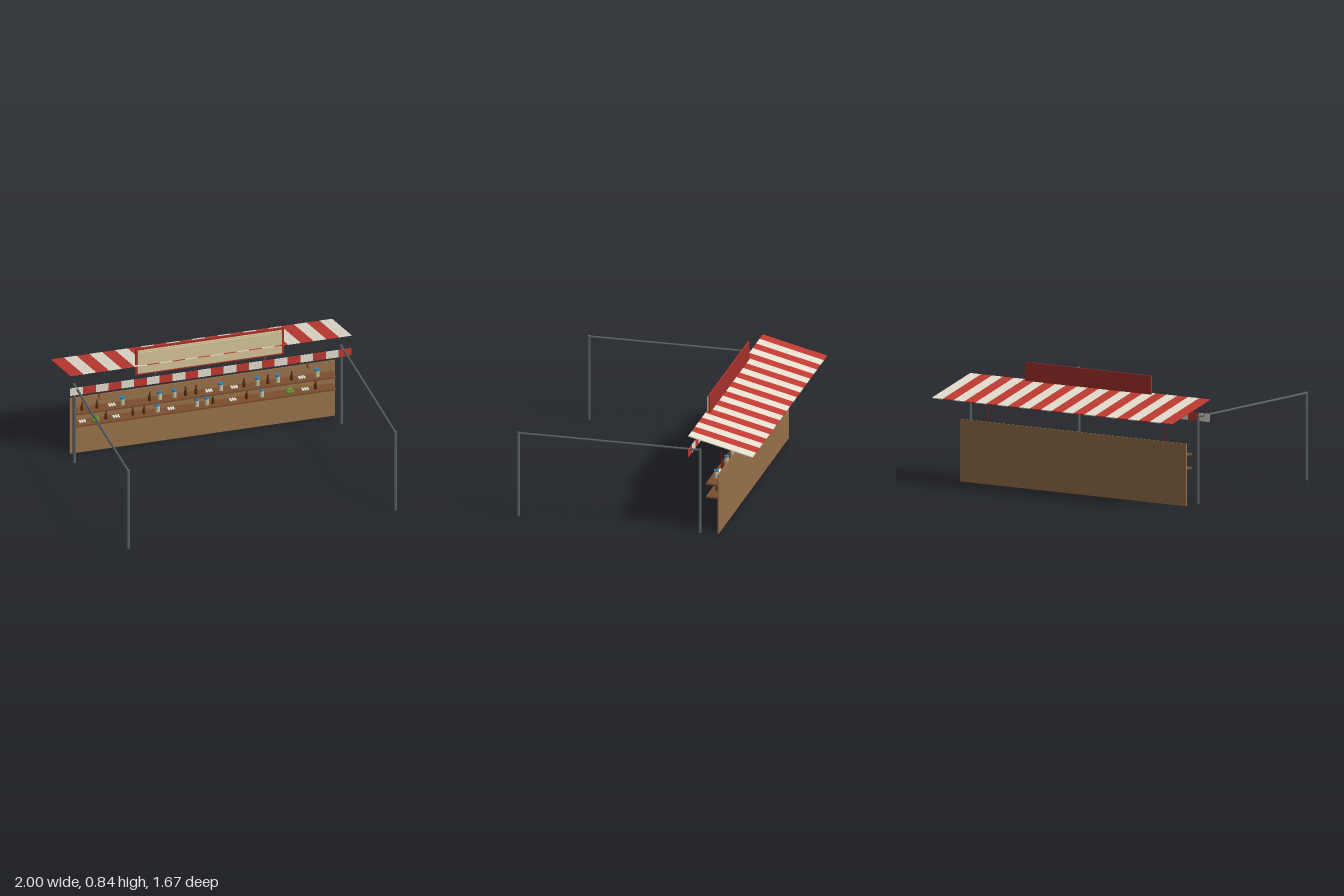
import * as THREE from 'three';

const mat = (color) => new THREE.MeshStandardMaterial({ color });
const M = {
  red: mat(0xc23b32), cream: mat(0xe6e0d0), wood: mat(0x9a734a), shelf: mat(0x7d4f30),
  steel: mat(0x5c6167), sign: mat(0xd9c89a), signRed: mat(0xa8322b), bottle: mat(0x5f3417),
  glass: mat(0xc9c3a0), blue: mat(0x2f7fb8), white: mat(0xeeeae0), green: mat(0x6f9a3a),
  chilli: mat(0x8e1f1a), string: mat(0x6b4a2c),
};

export function createModel() {
  const root = new THREE.Group();
  root.name = 'marketStall';

  const add = (name, geo, material, x, y, z, parent = root) => {
    const m = new THREE.Mesh(geo, material);
    m.name = name;
    m.position.set(x, y, z);
    parent.add(m);
    return m;
  };
  const box = (name, w, h, d, material, x, y, z, parent) =>
    add(name, new THREE.BoxGeometry(w, h, d), material, x, y, z, parent);
  const group = (name, parent = root) => {
    const g = new THREE.Group();
    g.name = name;
    parent.add(g);
    return g;
  };

  // Steel frame: four posts and two side rails
  const frame = group('frame');
  const postGeo = new THREE.CylinderGeometry(0.011, 0.011, 0.608, 10);
  const railGeo = new THREE.CylinderGeometry(0.008, 0.008, 1.29, 10).rotateX(Math.PI / 2);
  for (const x of [-0.95, 0.95]) {
    add('frontPost', postGeo, M.steel, x, 0.304, 0.828, frame);
    add('backPost', postGeo, M.steel, x, 0.304, -0.45, frame);
    add('sideRail', railGeo, M.steel, x, 0.601, 0.188, frame);
  }

  // Sloping striped awning and hanging valance
  const awning = group('awning');
  const n = 22, w = 2 / n;
  const zA = -0.381, yA = 0.714, zB = -0.834, yB = 0.602;
  const length = Math.hypot(zA - zB, yA - yB);
  const slope = -Math.atan2(yA - yB, zA - zB);
  for (let i = 0; i < n; i++) {
    const x = -1 + w * (i + 0.5);
    const stripe = box('awningStripe', w, 0.006, length, i % 2 ? M.cream : M.red,
      x, (yA + yB) / 2, (zA + zB) / 2, awning);
    stripe.rotation.x = slope;
    box('valanceStripe', w, 0.056, 0.004, i % 2 ? M.red : M.cream, x, 0.587, -0.381, awning);
  }

  // Sign board with raised panel, on two short brackets
  const sign = group('sign');
  box('signBack', 1.054, 0.205, 0.012, M.signRed, -0.002, 0.737, -0.404, sign);
  box('signPanel', 1.025, 0.176, 0.01, M.sign, -0.002, 0.737, -0.394, sign);
  box('signFace', 1.0, 0.152, 0.006, M.sign, -0.002, 0.737, -0.386, sign);
  for (const x of [-0.39, 0.39])
    add('signBracket', new THREE.CylinderGeometry(0.005, 0.005, 0.1, 8), M.steel, x, 0.61, -0.4, sign);

  // Back panel and shelves
  box('backPanel', 1.886, 0.43, 0.008, M.wood, 0, 0.215, -0.577);
  const shelfTops = [0.352, 0.257];
  for (const y of shelfTops) box('shelf', 1.846, 0.012, 0.09, M.shelf, 0, y - 0.006, -0.53);

  // Goods
  const profile = (points) =>
    new THREE.LatheGeometry(points.map((p) => new THREE.Vector2(p[0], p[1])), 12);
  const bottleGeo = profile([[0, 0], [0.0105, 0], [0.0105, 0.034], [0.005, 0.045], [0.005, 0.058], [0.0065, 0.058], [0.0065, 0.064], [0, 0.064]]);
  const jarGeo = new THREE.CylinderGeometry(0.0165, 0.0165, 0.048, 14);
  const lidGeo = new THREE.CylinderGeometry(0.0185, 0.0185, 0.009, 14);
  const ballGeo = new THREE.SphereGeometry(1, 10, 8);
  const ball = (name, r, material, x, y, z, g) => add(name, ballGeo, material, x, y, z, g).scale.setScalar(r);

  const makers = {
    bottle(g) { add('bottleBody', bottleGeo, M.bottle, 0, 0, 0, g); },
    jar(g) {
      add('jarBody', jarGeo, M.glass, 0, 0.024, 0, g);
      add('jarLid', lidGeo, M.blue, 0, 0.0525, 0, g);
    },
    eggs(g) {
      for (let i = -1; i <= 1; i++)
        for (const z of [-0.009, 0.009]) ball('egg', 0.0085, M.white, i * 0.017, 0.0085, z, g);
    },
    greens(g) {
      for (let i = -1; i <= 1; i++)
        for (const z of [-0.016, 0, 0.016]) ball('greenFruit', 0.01, M.green, i * 0.016, 0.01, z, g);
      for (const x of [-0.009, 0.009])
        for (const z of [-0.009, 0.009]) ball('greenFruit', 0.01, M.green, x, 0.023, z, g);
    },
  };
  const stock = [
    {
      bottle: [-0.87, -0.765, -0.39, -0.135, -0.06, 0.28, 0.45, 0.62],
      jar: [-0.585, -0.32, -0.215, 0.115, 0.375, 0.52, 0.8],
      eggs: [-0.66, 0.03, 0.21, 0.69],
    },
    {
      bottle: [-0.7, -0.51, -0.43, 0.06, 0.3, 0.79],
      jar: [-0.335, -0.055, 0.015, 0.405],
      eggs: [-0.87, -0.63, -0.24, 0.2, 0.715],
      greens: [-0.775, 0.605],
    },
  ];
  stock.forEach((row, level) => {
    for (const [kind, xs] of Object.entries(row))
      for (const x of xs) {
        const g = group(kind);
        g.position.set(x, shelfTops[level], -0.527);
        makers[kind](g);
      }
  });

  // Hanging strings of chillies
  const chilliGeo = new THREE.ConeGeometry(0.0045, 0.022, 7).rotateX(Math.PI);
  for (const x of [-0.745, 0.738]) {
    const g = group('chilliString');
    g.position.set(x, 0, -0.546);
    add('cord', new THREE.CylinderGeometry(0.0012, 0.0012, 0.11, 6), M.string, 0, 0.467, 0, g);
    for (let i = 0; i < 9; i++) {
      const a = i * 2.4;
      const c = add('chilli', chilliGeo, M.chilli, Math.cos(a) * 0.006, 0.509 - i * 0.012, Math.sin(a) * 0.006, g);
      c.rotation.set(-Math.sin(a) * 0.5, 0, Math.cos(a) * 0.5);
    }
  }
  return root;
}
